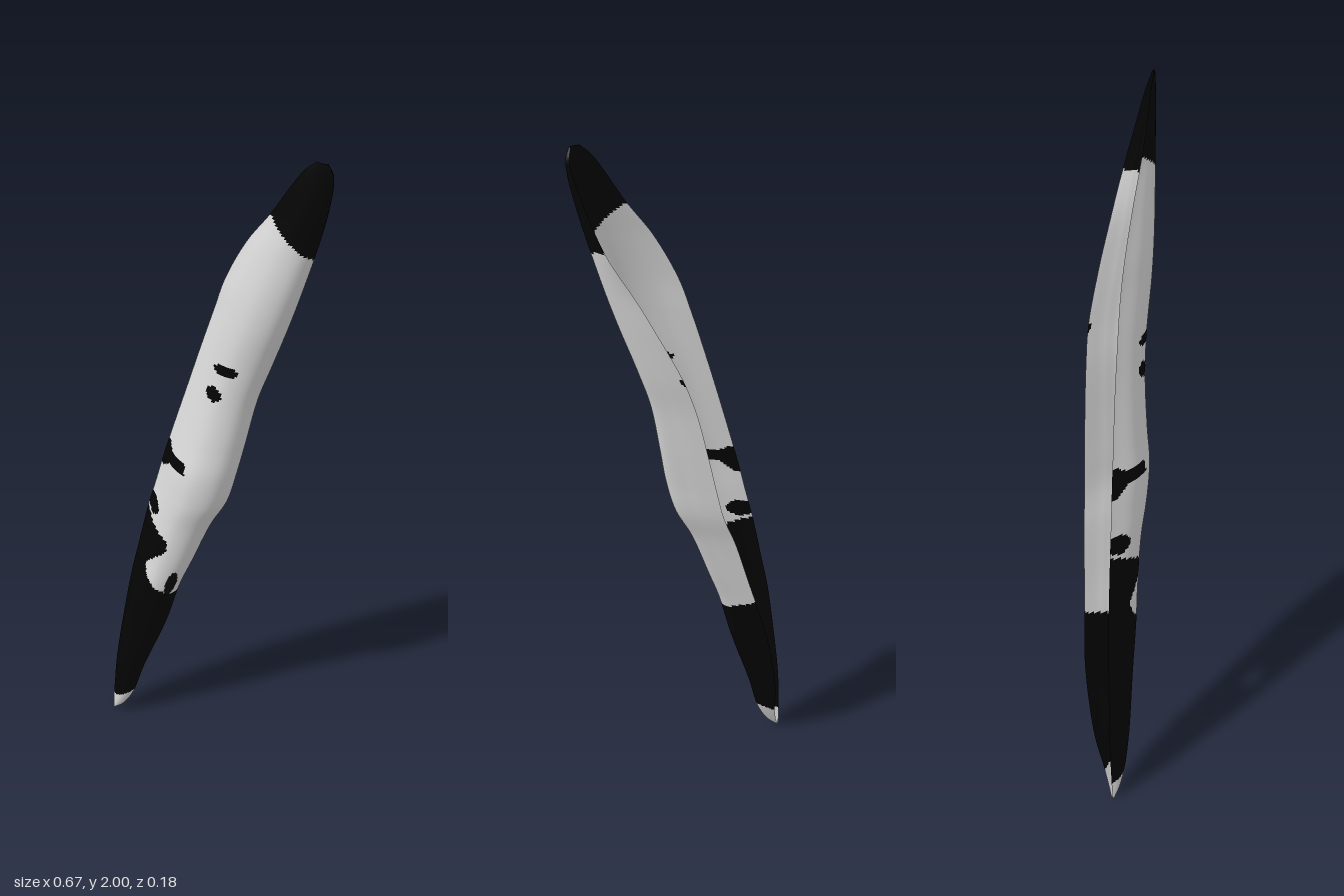
import * as THREE from 'three';

// Stations up the wing:
// [y, left x, right x, left-edge z, front-ridge z, back-edge z, back-edge position across the width]
const stations = [
  [0.00, -0.338, -0.33, 0.02, 0.024, 0.016, 0.5],
  [0.03, -0.338, -0.30, 0.018, 0.037, 0.007, 0.5],
  [0.09, -0.334, -0.265, 0.015, 0.05, -0.01, 0.5],
  [0.20, -0.325, -0.23, 0.010, 0.06, -0.04, 0.5],
  [0.40, -0.295, -0.155, 0.004, 0.065, -0.07, 0.52],
  [0.55, -0.268, -0.11, 0.00, 0.07, -0.077, 0.6],
  [0.65, -0.245, -0.07, 0.00, 0.07, -0.08, 0.61],
  [0.80, -0.21, -0.01, 0.00, 0.075, -0.085, 0.62],
  [0.90, -0.182, 0.042, 0.00, 0.086, -0.088, 0.62],
  [1.00, -0.155, 0.07, 0.00, 0.09, -0.09, 0.62],
  [1.10, -0.125, 0.092, 0.00, 0.08, -0.091, 0.62],
  [1.25, -0.079, 0.125, 0.00, 0.07, -0.091, 0.63],
  [1.36, -0.045, 0.163, 0.002, 0.07, -0.088, 0.65],
  [1.50, 0.00, 0.213, 0.006, 0.078, -0.066, 0.73],
  [1.60, 0.034, 0.246, 0.014, 0.08, -0.045, 0.8],
  [1.73, 0.10, 0.285, 0.03, 0.077, -0.015, 0.93],
  [1.83, 0.17, 0.312, 0.045, 0.073, 0.01, 0.95],
  [1.93, 0.232, 0.333, 0.055, 0.069, 0.036, 0.95],
  [1.97, 0.26, 0.334, 0.058, 0.067, 0.048, 0.95],
  [2.00, 0.292, 0.322, 0.062, 0.065, 0.058, 0.9],
];
const rail = (a, b) => new THREE.CatmullRomCurve3(stations.map((s) => new THREE.Vector3(s[a], s[0], s[b])));
const edges = rail(1, 2); // x = left edge, z = right edge
const fronts = rail(3, 4); // x = left-edge depth, z = front-ridge depth
const backs = rail(6, 5); // x = back-edge position, z = back-edge depth

const ROWS = 300, COLS = 72;

// Open gutter section: left edge, over the front ridge, round the right side, to the back edge
function section(t) {
  const e = edges.getPoint(t), f = fronts.getPoint(t), b = backs.getPoint(t);
  const mix = THREE.MathUtils.lerp;
  const zRight = mix(b.z, f.z, 0.58);
  const points = [
    [0, f.x],
    [0.27, mix(f.x, f.z, 0.7)],
    [0.58, f.z],
    [0.87, mix(zRight, f.z, 0.72)],
    [1, zRight],
    [mix(1, b.x, 0.42), mix(zRight, b.z, 0.5)],
    [b.x, b.z],
  ];
  return new THREE.CatmullRomCurve3(points.map(([u, z]) => new THREE.Vector3(mix(e.x, e.z, u), e.y, z)));
}

// Upper limit of the dark lower band, with its notch
const band = [[-0.4, 0.0], [-0.1, 0.0], [-0.1, 0.52], [-0.114, 0.53], [-0.16, 0.56], [-0.19, 0.6],
  [-0.195, 0.64], [-0.118, 0.71], [-0.118, 0.745], [-0.2, 0.8], [-0.4, 0.8]];
// Mark on the left edge
const edgeMark = [[-0.2, 0.96], [-0.15, 0.97], [-0.12, 1.0], [-0.055, 1.0], [-0.055, 1.034],
  [-0.11, 1.035], [-0.13, 1.055], [-0.2, 1.06]];
const spots = [[0.06, 1.357, 0.037, 0.017], [0.025, 1.277, 0.025, 0.022], [-0.182, 0.833, 0.03, 0.028]];

function inside(poly, x, y) {
  let hit = false;
  for (let i = 0, j = poly.length - 1; i < poly.length; j = i++) {
    const [ax, ay] = poly[i], [bx, by] = poly[j];
    if ((ay > y) !== (by > y) && x < (bx - ax) * (y - ay) / (by - ay) + ax) hit = !hit;
  }
  return hit;
}

function isDark(x, y) {
  if (y > 1.83 - (x - 0.17) * 0.91) return true; // upper tip
  if (y < 0.06 + (x + 0.335) * 0.6) return false; // pale lower tip
  return inside(band, x, y) || inside(edgeMark, x, y)
    || spots.some(([cx, cy, rx, ry]) => ((x - cx) / rx) ** 2 + ((y - cy) / ry) ** 2 < 1);
}

// Small slit through the front near the right side
function isSlit(x, y, z) {
  const dx = x + 0.118 - 0.3 * (y - 0.58);
  return z > 0.015 && (dx / 0.011) ** 2 + ((y - 0.58) / 0.045) ** 2 < 1;
}

// The whole sheet, with its quads sorted into pale and dark groups
function sheet() {
  const pos = [], faces = [[], []];
  for (let j = 0; j <= ROWS; j++) {
    const curve = section(j / ROWS);
    for (let i = 0; i <= COLS; i++) pos.push(...curve.getPoint(i / COLS).toArray());
  }
  for (let j = 0; j < ROWS; j++) {
    for (let i = 0; i < COLS; i++) {
      const a = j * (COLS + 1) + i, b = a + 1, d = a + COLS + 1, c = d + 1;
      const [x, y, z] = [0, 1, 2].map((k) => (pos[a * 3 + k] + pos[c * 3 + k]) / 2);
      if (!isSlit(x, y, z)) faces[isDark(x, y) ? 1 : 0].push(a, b, c, a, c, d);
    }
  }
  const geo = new THREE.BufferGeometry();
  geo.setAttribute('position', new THREE.Float32BufferAttribute(pos, 3));
  geo.setIndex(faces[0].concat(faces[1]));
  geo.addGroup(0, faces[0].length, 0);
  geo.addGroup(faces[0].length, faces[1].length, 1);
  geo.computeVertexNormals();
  return geo;
}

export function createModel() {
  const pale = new THREE.MeshStandardMaterial({ color: 0xdadada, side: THREE.DoubleSide });
  pale.name = 'paleGrey';
  const dark = new THREE.MeshStandardMaterial({ color: 0x040404, side: THREE.DoubleSide });
  dark.name = 'black';

  const group = new THREE.Group();
  group.name = 'wing';
  const mesh = new THREE.Mesh(sheet(), [pale, dark]);
  mesh.name = 'curvedWingSheet';
  group.add(mesh);
  return group;
}
